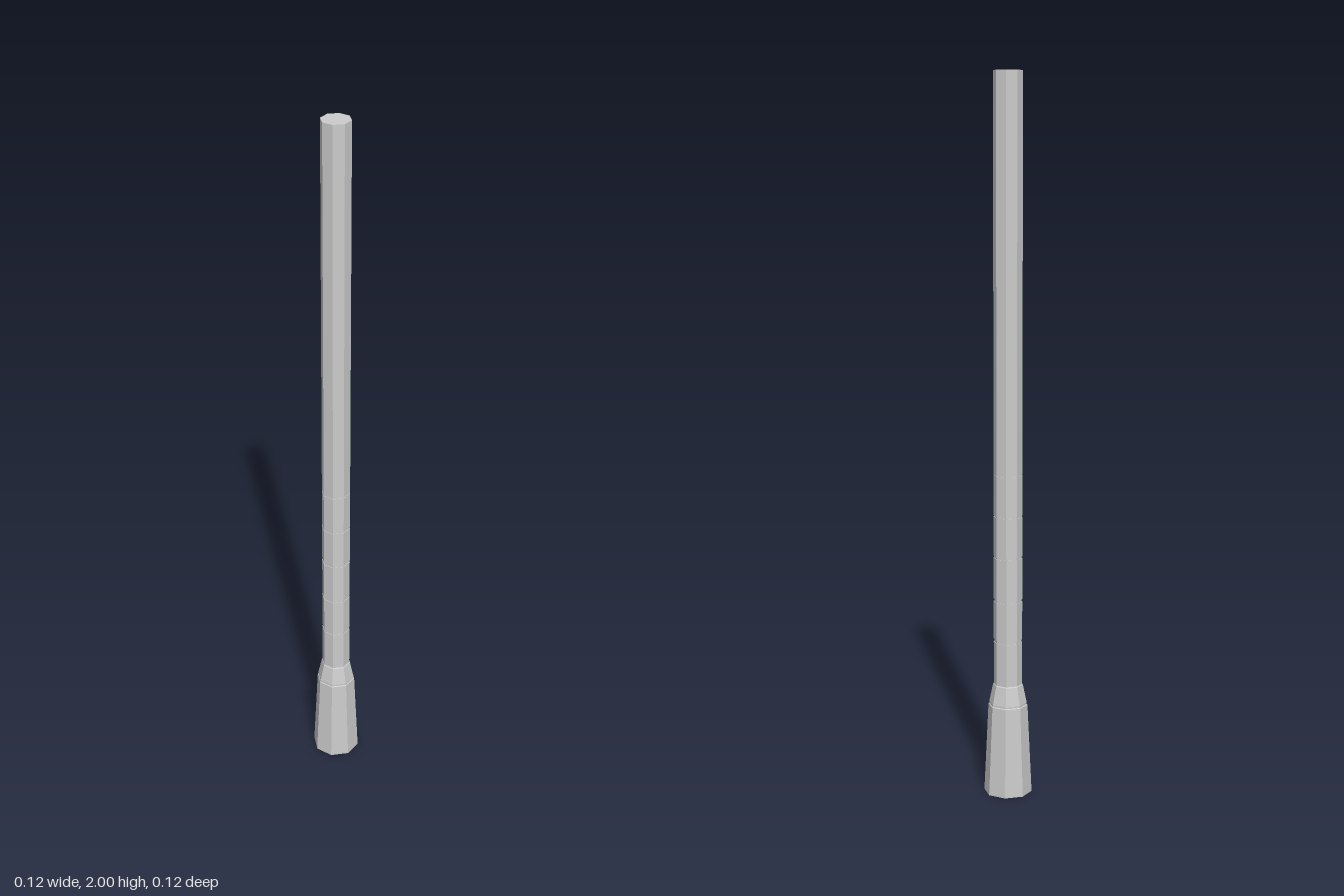
import * as THREE from 'three';

const SIDES = 8;
const FLAT = Math.cos(Math.PI / SIDES); // flat half-width -> corner radius

export function createModel() {
  const group = new THREE.Group();
  const material = new THREE.MeshStandardMaterial({ color: 0xcccccc, flatShading: true });

  // Octagonal turned part from [flat half-width, height] pairs, bottom to top
  const turned = (name, profile) => {
    const points = profile.map(([r, y]) => new THREE.Vector2(r / FLAT, y));
    const geometry = new THREE.LatheGeometry(points, SIDES, Math.PI / SIDES);
    const mesh = new THREE.Mesh(geometry, material);
    mesh.name = name;
    group.add(mesh);
  };

  // Flared foot with closed underside
  turned('flaredBase', [[0, 0], [0.062, 0], [0.062, 0.006], [0.051, 0.254], [0.049, 0.256]]);

  // Tapering collar up to the shaft
  turned('collar', [[0.049, 0.256], [0.049, 0.261], [0.039, 0.312], [0.037, 0.315]]);

  // Shaft with five fine grooves, each narrower than the one below
  const shaft = [[0.037, 0.315]];
  [0.44, 0.556, 0.679, 0.795, 0.911].forEach((y, i) => {
    const half = 0.004 - i * 0.0007;
    shaft.push([0.037, y - half], [0.0355, y - half], [0.0355, y + half], [0.037, y + half]);
  });
  shaft.push([0.037, 2], [0, 2]);
  turned('groovedShaft', shaft);

  return group;
}
